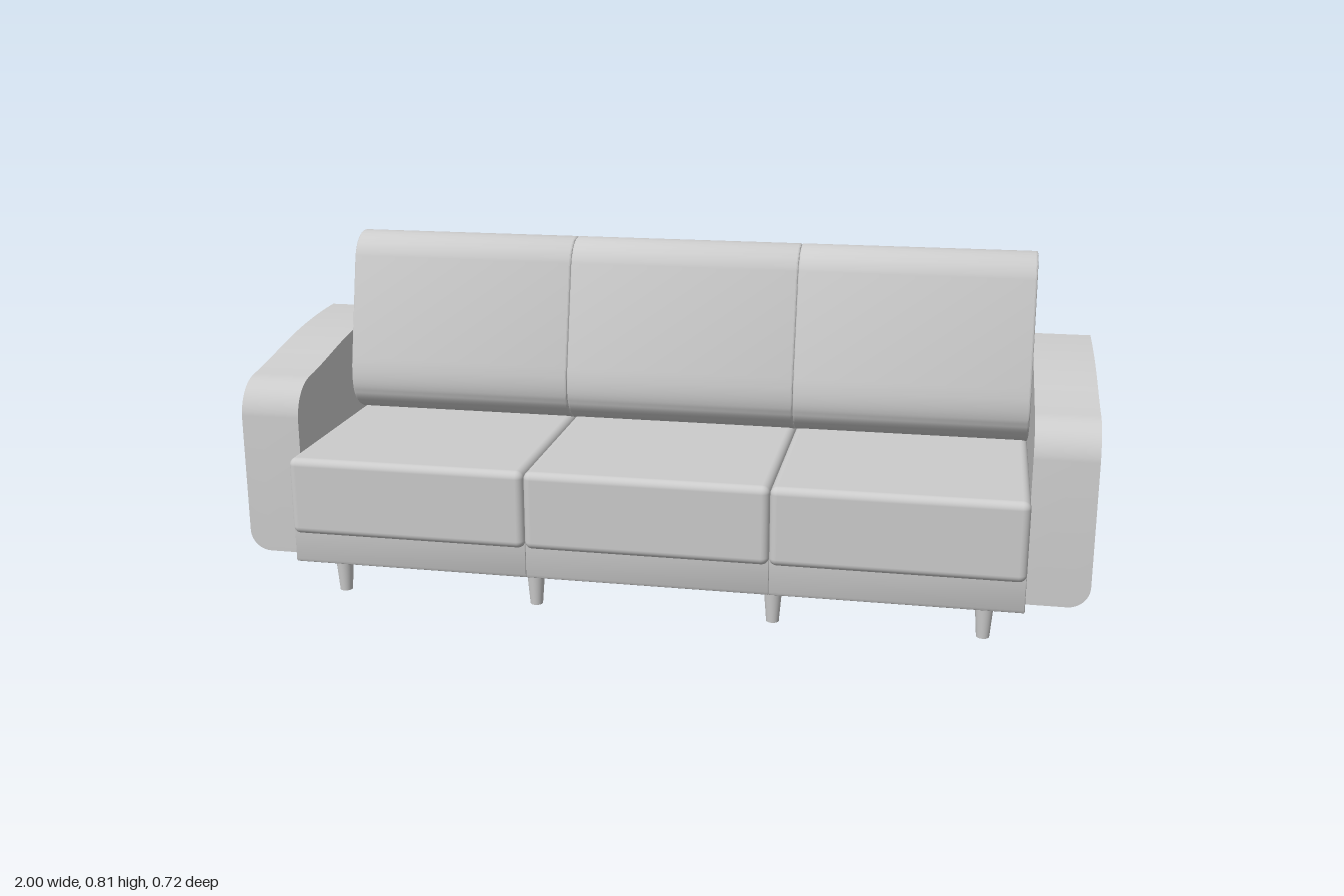
import * as THREE from 'three';
import { toCreasedNormals } from 'three/addons/utils/BufferGeometryUtils.js';
import { RoundedBoxGeometry } from 'three/addons/geometries/RoundedBoxGeometry.js';

const HALF = 0.857;           // half width between the arms
const SEAT = HALF * 2 / 3;    // width of one seat
const FLOOR = 0.098;          // underside of the body

const material = new THREE.MeshStandardMaterial({ color: 0xcccccc });

function addMesh(parent, name, geometry) {
  const mesh = new THREE.Mesh(geometry, material);
  mesh.name = name;
  parent.add(mesh);
  return mesh;
}

// Side profile as [z, y] steps: 2 numbers = line, 4 = quadratic, 6 = cubic
function sideShape(steps) {
  const s = new THREE.Shape();
  steps.forEach((p, i) => {
    const q = p.map((v, k) => (k % 2 ? v : -v));
    if (i === 0) s.moveTo(...q);
    else if (q.length === 2) s.lineTo(...q);
    else if (q.length === 4) s.quadraticCurveTo(...q);
    else s.bezierCurveTo(...q);
  });
  return s;
}

// Extrudes a side profile along x, centred on x = 0
function extrudeAcross(steps, width, bevel = 0) {
  const g = new THREE.ExtrudeGeometry(sideShape(steps), {
    depth: width - 2 * bevel, curveSegments: 16, bevelEnabled: bevel > 0,
    bevelThickness: bevel, bevelSize: bevel, bevelOffset: -bevel, bevelSegments: 3,
  });
  g.translate(0, 0, bevel - width / 2);
  g.rotateY(Math.PI / 2);
  return toCreasedNormals(g, 0.6);
}

// Arm: side profile extruded outward, with its lower outer edge rounded
function armGeometry(side) {
  const R = 0.05, STEPS = 9;
  const g = new THREE.ExtrudeGeometry(sideShape([
    [0.285, FLOOR], [0.285, 0.43],
    [0.285, 0.475, 0.255, 0.517, 0.20, 0.523],
    [0.14, 0.53, 0.06, 0.549, 0, 0.56],
    [-0.1, 0.578, -0.2, 0.588, -0.302, 0.59],
    [-0.302, FLOOR],
  ]), { depth: 1, steps: STEPS, curveSegments: 14, bevelEnabled: false });
  const p = g.attributes.position;
  for (let i = 0; i < p.count; i++) {
    const step = Math.round((side > 0 ? p.getZ(i) : 1 - p.getZ(i)) * STEPS);
    const a = Math.max(0, step - 1) / (STEPS - 1) * Math.PI / 2;
    const x = step === 0 ? HALF : 1 - R + R * Math.sin(a);
    p.setY(i, Math.max(p.getY(i), FLOOR + R * (1 - Math.cos(a))));
    p.setZ(i, side * x);
  }
  g.rotateY(Math.PI / 2);
  return toCreasedNormals(g, 0.6);
}

export function createModel() {
  const sofa = new THREE.Group();
  sofa.name = 'sofa';

  // Arms
  addMesh(sofa, 'leftArm', armGeometry(1));
  addMesh(sofa, 'rightArm', armGeometry(-1));

  // Base between the arms
  addMesh(sofa, 'base', extrudeAcross([
    [0.28, FLOOR], [0.28, 0.3], [-0.302, 0.3], [-0.302, FLOOR],
  ], HALF * 2));

  // Leaning back frame with a rounded top edge
  addMesh(sofa, 'backFrame', extrudeAcross([
    [-0.2, 0.28], [-0.26, 0.585], [-0.30, 0.585], [-0.338, 0.577],
    [-0.362, 0.57, -0.362, 0.55], [-0.361, 0.54, -0.357, 0.528],
    [-0.302, 0.36], [-0.302, 0.28],
  ], HALF * 2));

  // Front panel, seat cushion and back cushion of each seat
  const panel = extrudeAcross([
    [0.27, FLOOR], [0.335, FLOOR], [0.344, FLOOR, 0.344, FLOOR + 0.009],
    [0.344, 0.2], [0.27, 0.2],
  ], SEAT, 0.002);
  const seat = new RoundedBoxGeometry(SEAT, 0.188, 0.61, 4, 0.018);
  const back = extrudeAcross([
    [-0.15, 0.35], [-0.12, 0.362],
    [-0.055, 0.39, -0.05, 0.44, -0.064, 0.505],
    [-0.121, 0.752],
    [-0.132, 0.795, -0.165, 0.815, -0.195, 0.815],
    [-0.21, 0.815, -0.225, 0.81],
    [-0.295, 0.786],
    [-0.33, 0.773, -0.348, 0.738, -0.338, 0.70],
    [-0.30, 0.58], [-0.25, 0.40], [-0.24, 0.35],
  ], SEAT, 0.005);
  ['right', 'middle', 'left'].forEach((name, i) => {
    const x = (i - 1) * SEAT;
    addMesh(sofa, name + 'FrontPanel', panel).position.x = x;
    addMesh(sofa, name + 'SeatCushion', seat).position.set(x, 0.268, 0.055);
    addMesh(sofa, name + 'BackCushion', back).position.x = x;
  });

  // Tapered legs, four along the front and four along the back
  const leg = new THREE.CylinderGeometry(0.023, 0.015, 0.1, 24);
  for (const z of [0.255, -0.207]) {
    for (const x of [-0.772, -0.287, 0.285, 0.77]) {
      addMesh(sofa, z > 0 ? 'frontLeg' : 'backLeg', leg).position.set(x, 0.05, z);
    }
  }
  return sofa;
}
